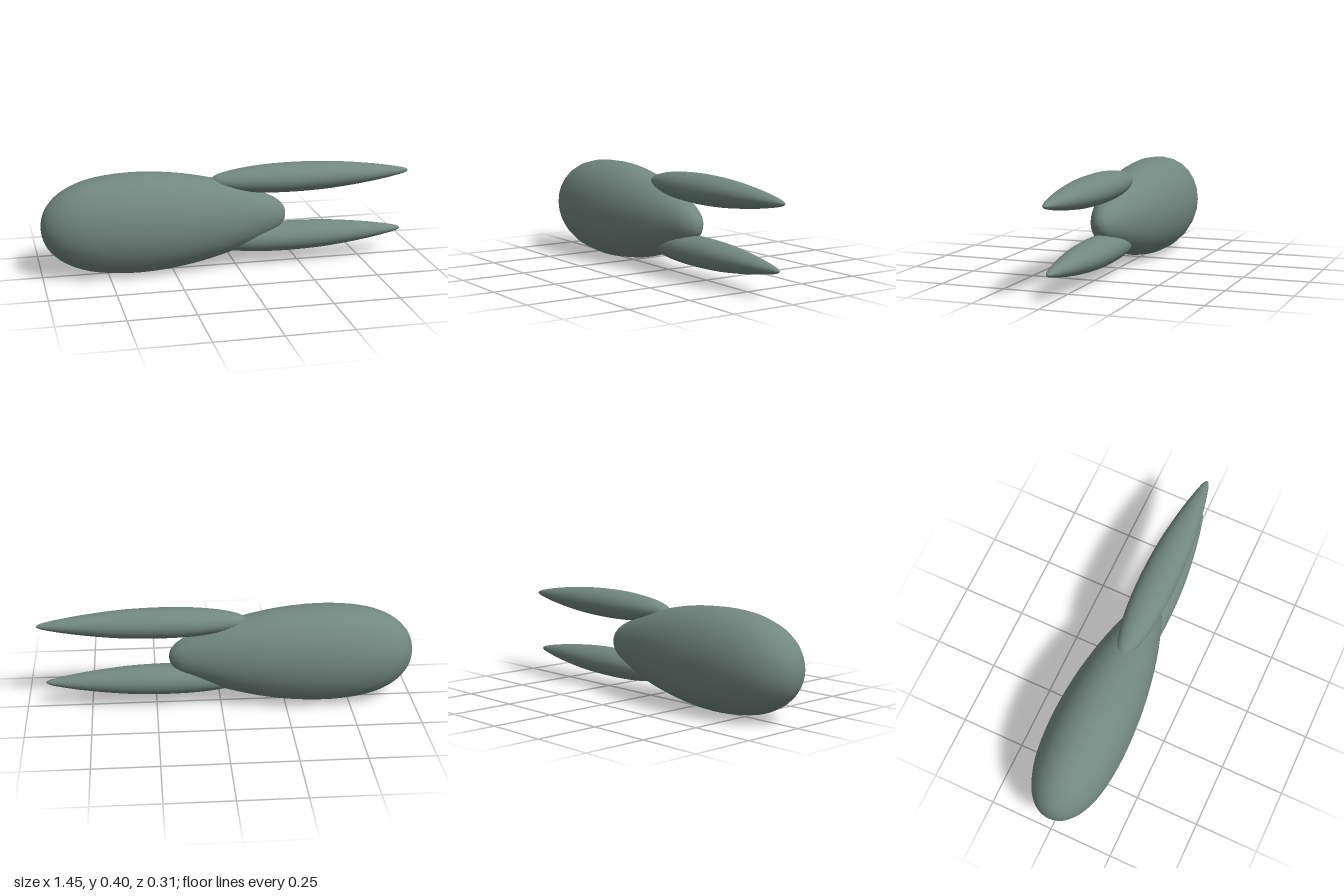
import * as THREE from 'three';

// Smooth solid of revolution along x; profile points are [x, radius]
function pod(name, profile, heightRatio, material) {
  const curve = new THREE.SplineCurve(profile.map(([x, r]) => new THREE.Vector2(r, x)));
  const points = curve.getPoints(40).map((p) => new THREE.Vector2(Math.max(p.x, 0), p.y));
  const geometry = new THREE.LatheGeometry(points, 24);
  geometry.rotateZ(-Math.PI / 2);
  geometry.scale(1, heightRatio, 1);
  const mesh = new THREE.Mesh(geometry, material);
  mesh.name = name;
  return mesh;
}

export function createModel() {
  const group = new THREE.Group();
  group.name = 'podCraft';
  const greyGreen = new THREE.MeshStandardMaterial({ color: 0x728880 });
  greyGreen.name = 'greyGreen';

  // Main hull: blunt at -x, tapering to a rounded tail
  const hull = pod('hull', [
    [-1, 0], [-0.993, 0.035], [-0.97, 0.071], [-0.92, 0.108], [-0.84, 0.137], [-0.74, 0.152],
    [-0.62, 0.156], [-0.48, 0.147], [-0.35, 0.127], [-0.24, 0.102], [-0.15, 0.074],
    [-0.09, 0.05], [-0.06, 0.026], [-0.053, 0.012], [-0.05, 0],
  ], 1.25, greyGreen);
  hull.position.y = 0.198;
  group.add(hull);

  // Two slender pods, above and below the tail
  const slender = [
    [-0.35, 0], [-0.342, 0.017], [-0.315, 0.035], [-0.25, 0.053], [-0.15, 0.067], [-0.03, 0.072],
    [0.1, 0.068], [0.2, 0.058], [0.3, 0.043], [0.38, 0.027], [0.43, 0.014], [0.446, 0.006], [0.45, 0],
  ];
  for (const [name, x, y] of [['upperPod', 0, 0.341], ['lowerPod', -0.025, 0.104]]) {
    const mesh = pod(name, slender, 0.79, greyGreen);
    mesh.position.set(x, y, 0);
    group.add(mesh);
  }
  return group;
}
